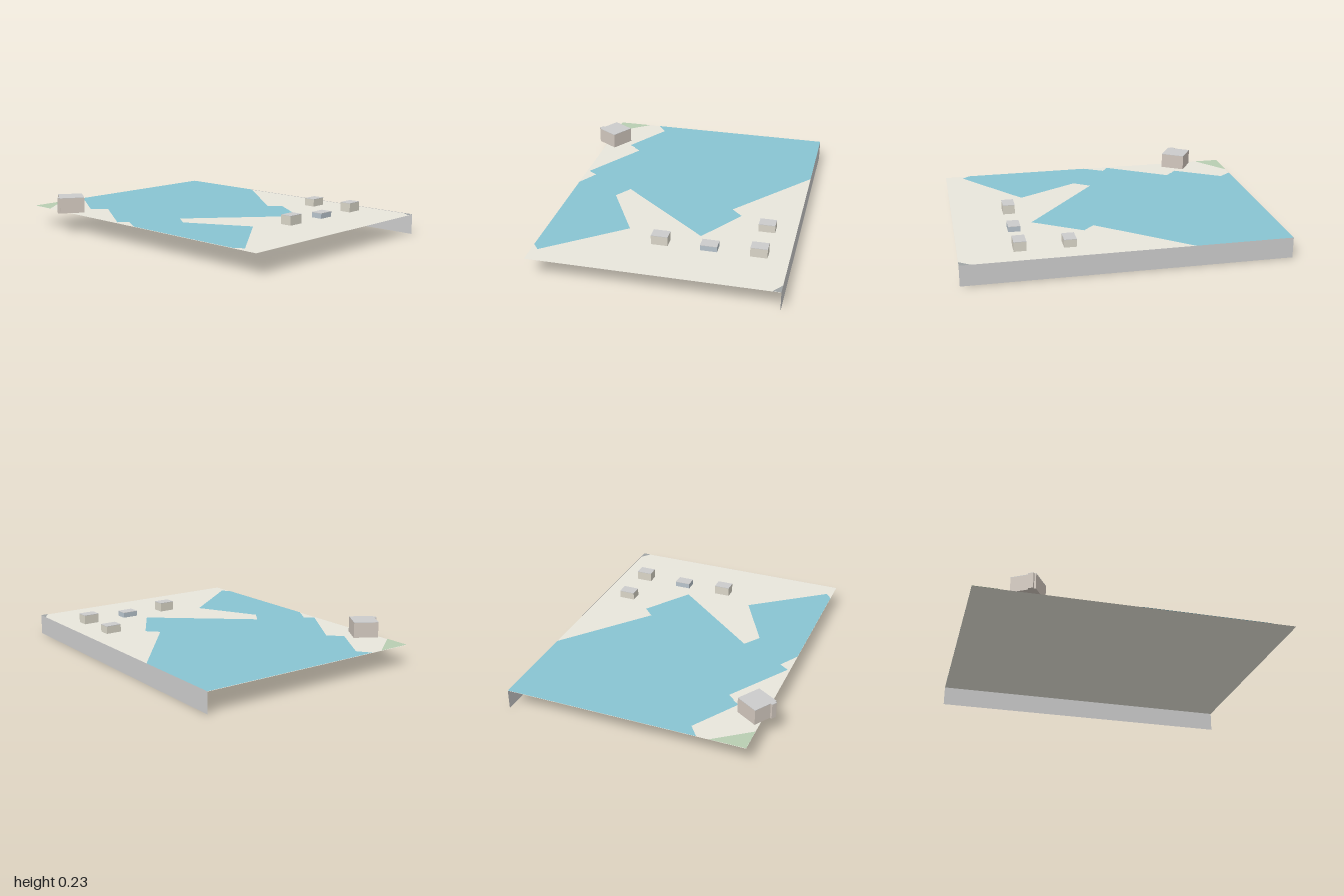
import * as THREE from 'three';

const TOP = 0.13, BACK = -0.79, FRONT = 0.72;

const mat = (color, side = THREE.FrontSide) => new THREE.MeshStandardMaterial({ color, side });

// Flat polygon lying at height y, outlined by [x, z] points
function sheet(name, points, y, color) {
  const shape = new THREE.Shape(points.map(([x, z]) => new THREE.Vector2(x, -z)));
  const geo = new THREE.ShapeGeometry(shape).rotateX(-Math.PI / 2);
  const mesh = new THREE.Mesh(geo, mat(color, THREE.DoubleSide));
  mesh.name = name;
  mesh.position.y = y;
  return mesh;
}

function box(name, size, pos, color) {
  const mesh = new THREE.Mesh(new THREE.BoxGeometry(...size), mat(color));
  mesh.name = name;
  mesh.position.set(...pos);
  return mesh;
}

// Block with coloured walls and a thin grey roof, standing on the ground
function building(name, w, h, d, wallColor) {
  const g = new THREE.Group();
  const roof = 0.003;
  g.name = name;
  g.add(box('walls', [w, h - roof, d], [0, (h - roof) / 2, 0], wallColor));
  g.add(box('roof', [w, roof, d], [0, h - roof / 2, 0], 0xcccccc));
  return g;
}

export function createModel() {
  const model = new THREE.Group();
  model.name = 'harbourDiorama';

  // Ground plate
  model.add(sheet('ground', [[-1, BACK], [1, BACK], [1, FRONT], [-1, FRONT]], TOP - 0.002, 0xe8e6dc));

  // Water with its angular quays
  model.add(sheet('water', [
    [-1, BACK], [-0.39, BACK], [0.145, -0.355], [0.215, -0.425], [0.515, -0.23],
    [0.03, 0.355], [0.135, 0.425], [0.525, 0.215], [0.885, 0.68], [0.835, FRONT],
    [0.01, FRONT], [-0.12, 0.645], [-0.16, 0.705], [-0.55, 0.46], [-0.585, 0.5],
    [-0.597, 0.505], [-0.625, 0.545], [-0.92, 0.365], [-1, 0.425],
  ], TOP, 0x88c4d2));

  // Corner patches
  model.add(sheet('grass', [[-1, 0.5], [-0.835, FRONT], [-1, FRONT]], TOP, 0xb8ceb2));
  model.add(sheet('road', [[0.93, BACK], [1, BACK], [1, -0.74]], TOP, 0xa0a4a4));

  // Upright sheet under the back edge
  const wall = new THREE.Mesh(new THREE.PlaneGeometry(2, TOP), mat(0xcccccc, THREE.DoubleSide));
  wall.name = 'backWall';
  wall.position.set(0, TOP / 2, BACK);
  model.add(wall);

  // Small sheds: x, z, height, wall colour
  [
    [0.34, -0.61, 0.05, 0xdad6c8],
    [0.637, -0.61, 0.06, 0xdad6c8],
    [0.637, -0.31, 0.035, 0xb8c4cc],
    [0.637, -0.01, 0.06, 0xdad6c8],
  ].forEach(([x, z, h, color], i) => {
    const shed = building('shed' + (i + 1), 0.075, h, 0.103, color);
    shed.position.set(x, TOP, z);
    model.add(shed);
  });

  // Turned house with a narrow bay on its front wall
  const house = building('house', 0.16, 0.1, 0.156, 0xd2c8be);
  house.position.set(-0.669, TOP, 0.671);
  house.rotation.y = -0.56;
  const bay = building('bay', 0.034, 0.1, 0.024, 0xd2c8be);
  bay.position.set(0.052, 0, 0.08);
  house.add(bay);
  model.add(house);

  return model;
}
